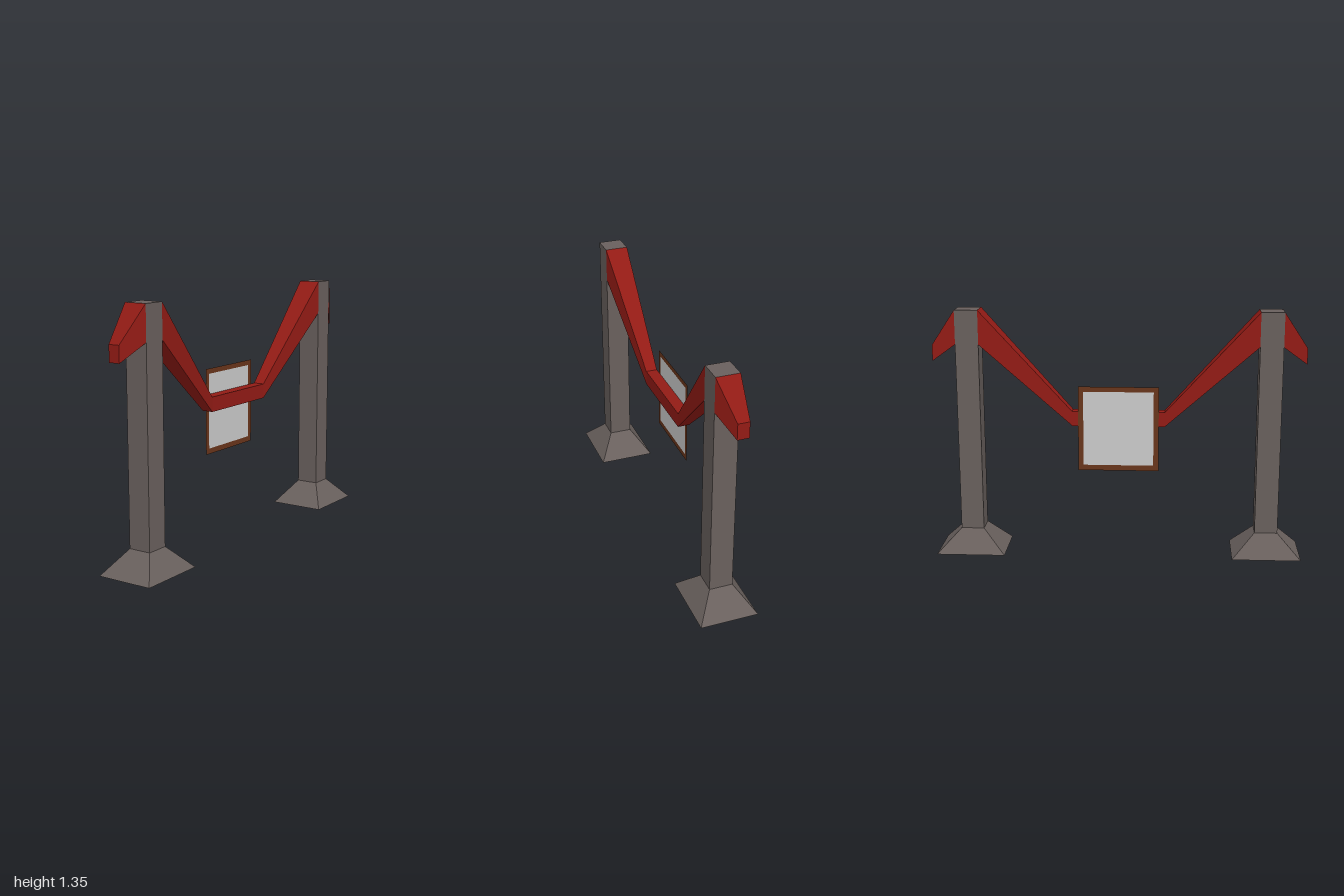
import * as THREE from 'three';

const paint = (color) => new THREE.MeshStandardMaterial({ color, flatShading: true, side: THREE.DoubleSide });

// Open four-sided sleeve from a bottom half-size [x, z] to a top half-size
function sleeve(bottom, top, y0, y1) {
  const geo = new THREE.CylinderGeometry(1, 1, 1, 4, 1, true, Math.PI / 4);
  const p = geo.attributes.position;
  for (let i = 0; i < p.count; i++) {
    const up = p.getY(i) > 0;
    const [hx, hz] = up ? top : bottom;
    p.setXYZ(i, Math.sign(p.getX(i)) * hx, up ? y1 : y0, Math.sign(p.getZ(i)) * hz);
  }
  const flat = geo.toNonIndexed();
  flat.computeVertexNormals();
  return flat;
}

// Closed beam through rectangular sections [x0, x1, y0, y1, z], z ascending
function beam(sections) {
  const rings = sections.map(([x0, x1, y0, y1, z]) => [[x0, y0, z], [x1, y0, z], [x1, y1, z], [x0, y1, z]]);
  const pos = [];
  const quad = (a, b, c, d) => [a, b, c, a, c, d].forEach((v) => pos.push(...v));
  for (let k = 0; k < rings.length - 1; k++) {
    const a = rings[k], b = rings[k + 1];
    for (let i = 0; i < 4; i++) {
      const j = (i + 1) % 4;
      quad(a[i], a[j], b[j], b[i]);
    }
  }
  const s = rings[0], e = rings[rings.length - 1];
  quad(s[3], s[2], s[1], s[0]);
  quad(e[0], e[1], e[2], e[3]);
  const geo = new THREE.BufferGeometry();
  geo.setAttribute('position', new THREE.Float32BufferAttribute(pos, 3));
  geo.computeVertexNormals();
  return geo;
}

function rect(Type, hw, y0, y1) {
  const r = new Type();
  r.moveTo(-hw, y0);
  r.lineTo(hw, y0);
  r.lineTo(hw, y1);
  r.lineTo(-hw, y1);
  r.closePath();
  return r;
}

export function createModel() {
  const model = new THREE.Group();
  const stone = paint(0x69605d), red = paint(0x931b15), wood = paint(0x69351b), grey = paint(0xcccccc);
  const add = (name, geo, mat, parent = model) => {
    const mesh = new THREE.Mesh(geo, mat);
    mesh.name = name;
    parent.add(mesh);
    return mesh;
  };

  const w = 0.0625, postTop = 1.345, postZ = 0.8125;
  const atPost = [-w, w, 1.16, postTop];
  const atEnd = [-w, 0, 1.07, 1.157];
  const atMiddle = [-w, 0, 0.72, 0.8];

  for (const side of [1, -1]) {
    // Post on a hollow flared foot
    const post = new THREE.Group();
    post.name = side > 0 ? 'frontPost' : 'backPost';
    post.position.z = side * postZ;
    model.add(post);
    add('foot', sleeve([0.156, 0.1875], [w, w], 0, 0.125), stone, post);
    add('shaft', sleeve([w, w], [w, w], 0.125, postTop), stone, post);
    const cap = add('postCap', new THREE.PlaneGeometry(2 * w, 2 * w).rotateX(-Math.PI / 2), stone, post);
    cap.position.y = postTop;

    // Short tapered end of the beam, outside the post
    const end = [[...atPost, side * 0.875], [...atEnd, side]];
    add(side > 0 ? 'frontBeamEnd' : 'backBeamEnd', beam(side > 0 ? end : end.reverse()), red);
  }

  // Sagging beam between the posts
  add('saggingBeam', beam([
    [...atPost, -0.75], [...atMiddle, -0.25], [...atMiddle, 0.25], [...atPost, 0.75],
  ]), red);

  // Thin framed panel against the flat side of the beam
  const panel = new THREE.Group();
  panel.name = 'hangingPanel';
  panel.position.x = -0.064;
  panel.rotation.y = Math.PI / 2;
  model.add(panel);
  const frame = rect(THREE.Shape, 0.218, 0.472, 0.938);
  frame.holes.push(rect(THREE.Path, 0.19, 0.502, 0.91));
  add('panelFrame', new THREE.ShapeGeometry(frame), wood, panel);
  add('panelSheet', new THREE.ShapeGeometry(rect(THREE.Shape, 0.19, 0.502, 0.91)), grey, panel);

  return model;
}
